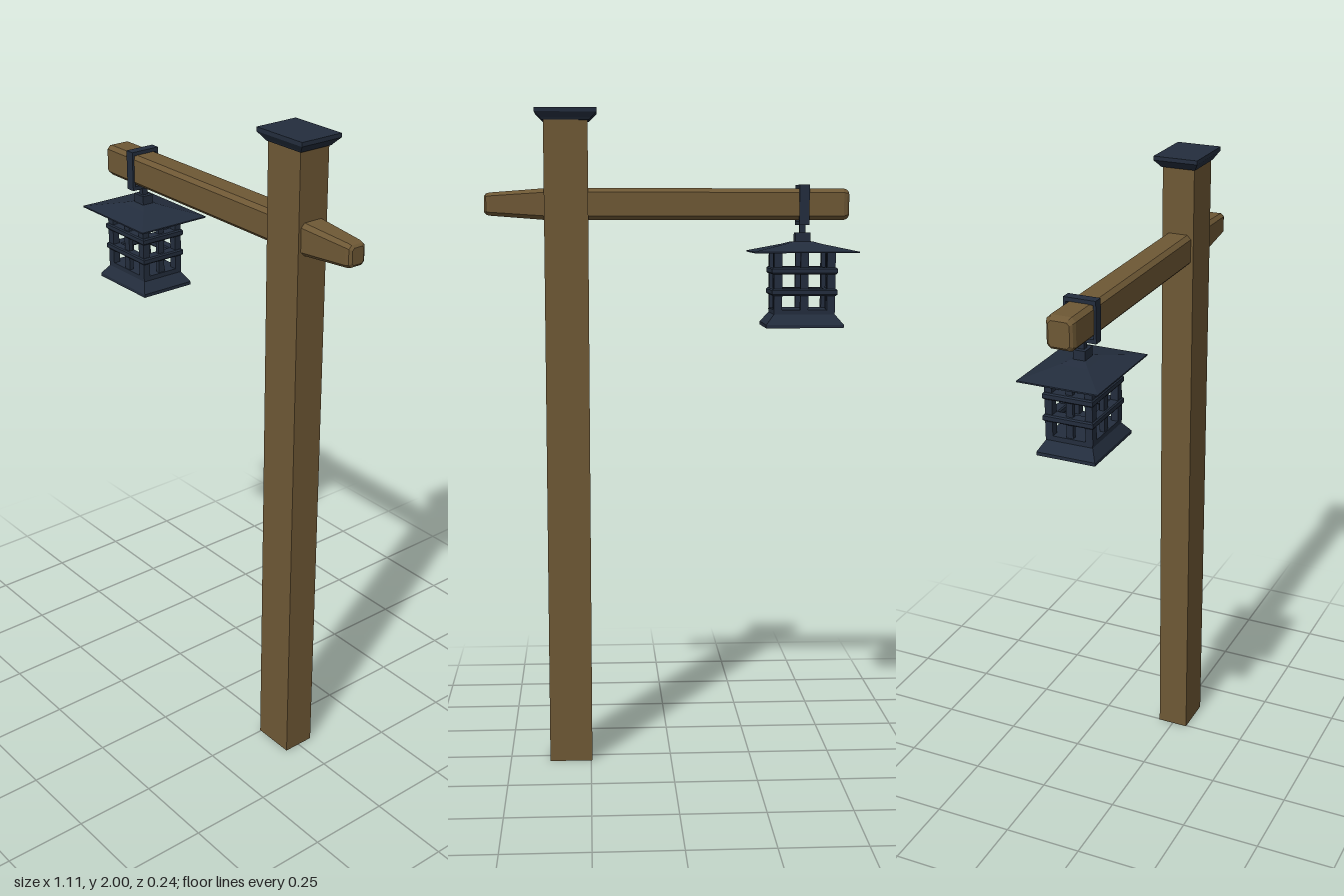
import * as THREE from 'three';

// Closed loft along y through rectangular sections [y, halfX, halfZ, chamfer]
function loft(sections) {
  const rings = sections.map(([y, w, d, c = 0]) => {
    const p = c > 0
      ? [[w - c, d], [w, d - c], [w, c - d], [w - c, -d], [c - w, -d], [-w, c - d], [-w, d - c], [c - w, d]]
      : [[w, d], [w, -d], [-w, -d], [-w, d]];
    return p.map(([x, z]) => [x, y, z]);
  });
  const pos = [];
  const tri = (a, b, c) => pos.push(...a, ...b, ...c);
  const n = rings[0].length;
  for (let i = 0; i < rings.length - 1; i++) {
    for (let j = 0; j < n; j++) {
      const k = (j + 1) % n;
      const a = rings[i][j], b = rings[i][k], c = rings[i + 1][k], d = rings[i + 1][j];
      tri(a, b, c);
      tri(a, c, d);
    }
  }
  const bottom = rings[0], top = rings[rings.length - 1];
  for (let j = 1; j < n - 1; j++) {
    tri(bottom[0], bottom[j + 1], bottom[j]);
    tri(top[0], top[j], top[j + 1]);
  }
  const g = new THREE.BufferGeometry();
  g.setAttribute('position', new THREE.Float32BufferAttribute(pos, 3));
  g.computeVertexNormals();
  return g;
}

export function createModel() {
  const wood = new THREE.MeshStandardMaterial({ color: 0x6e5835 });
  wood.name = 'wood';
  const iron = new THREE.MeshStandardMaterial({ color: 0x232d3d });
  iron.name = 'darkIron';

  const model = new THREE.Group();
  model.name = 'lanternPost';
  const add = (parent, name, geo, mat, x = 0, y = 0, z = 0) => {
    const m = new THREE.Mesh(geo, mat);
    m.name = name;
    m.position.set(x, y, z);
    parent.add(m);
    return m;
  };
  const box = (parent, name, mat, w, h, d, x, y, z) =>
    add(parent, name, new THREE.BoxGeometry(w, h, d), mat, x, y, z);

  // Upright post with a flared cap
  const postX = 0.312;
  box(model, 'post', wood, 0.131, 1.97, 0.1, postX, 0.985, 0);
  add(model, 'postCap', loft([
    [1.965, 0.07, 0.054], [1.972, 0.076, 0.058], [1.988, 0.092, 0.069], [2, 0.092, 0.069],
  ]), iron, postX);

  // Chamfered cross beam, tapering beyond the post
  const beam = loft([
    [-0.537, 0.036, 0.031, 0.008], [-0.531, 0.043, 0.038, 0.011], [-0.52, 0.047, 0.042, 0.012],
    [0.37, 0.047, 0.042, 0.012],
    [0.54, 0.034, 0.031, 0.01], [0.55, 0.031, 0.028, 0.009], [0.556, 0.024, 0.02, 0.006],
  ]);
  beam.rotateZ(-Math.PI / 2);
  add(model, 'crossBeam', beam, wood, 0, 1.72, 0);

  // Hanging lantern
  const lantern = new THREE.Group();
  lantern.name = 'lantern';
  lantern.position.x = -0.4;
  model.add(lantern);

  // Strap looped around the beam, with its link and knob
  for (const s of [-1, 1]) box(lantern, 'strapSide', iron, 0.03, 0.118, 0.008, 0, 1.719, s * 0.044);
  box(lantern, 'strapTop', iron, 0.03, 0.012, 0.096, 0, 1.772, 0);
  box(lantern, 'strapBottom', iron, 0.03, 0.012, 0.096, 0, 1.664, 0);
  box(lantern, 'link', iron, 0.018, 0.04, 0.018, 0, 1.645, 0);
  box(lantern, 'knob', iron, 0.046, 0.032, 0.036, 0, 1.62, 0);

  // Roof and flared base
  add(lantern, 'roof', loft([
    [1.576, 0.157, 0.119], [1.58, 0.157, 0.119], [1.602, 0.055, 0.041], [1.609, 0.03, 0.023],
  ]), iron);
  add(lantern, 'base', loft([
    [1.352, 0.117, 0.088], [1.362, 0.117, 0.088], [1.392, 0.092, 0.07], [1.406, 0.092, 0.07],
  ]), iron);

  // Open cage: corner posts, mid bars and horizontal rails
  const hx = 0.08, hz = 0.06, cageY = 1.49, cageH = 0.18;
  for (const s of [-1, 1]) {
    for (const t of [-1, 1]) box(lantern, 'cornerPost', iron, 0.025, cageH, 0.022, s * hx, cageY, t * hz);
    box(lantern, 'middleBarFace', iron, 0.024, cageH, 0.014, 0, cageY, s * hz);
    box(lantern, 'middleBarSide', iron, 0.014, cageH, 0.02, s * hx, cageY, 0);
    for (const y of [1.458, 1.522]) {
      add(lantern, 'railFace', loft([
        [-0.01, 0.095, 0.012], [-0.006, 0.099, 0.015], [0.006, 0.099, 0.015], [0.01, 0.095, 0.012],
      ]), iron, 0, y, s * hz);
      add(lantern, 'railSide', loft([
        [-0.01, 0.015, 0.071], [-0.006, 0.019, 0.075], [0.006, 0.019, 0.075], [0.01, 0.015, 0.071],
      ]), iron, s * hx, y, 0);
    }
  }
  return model;
}
